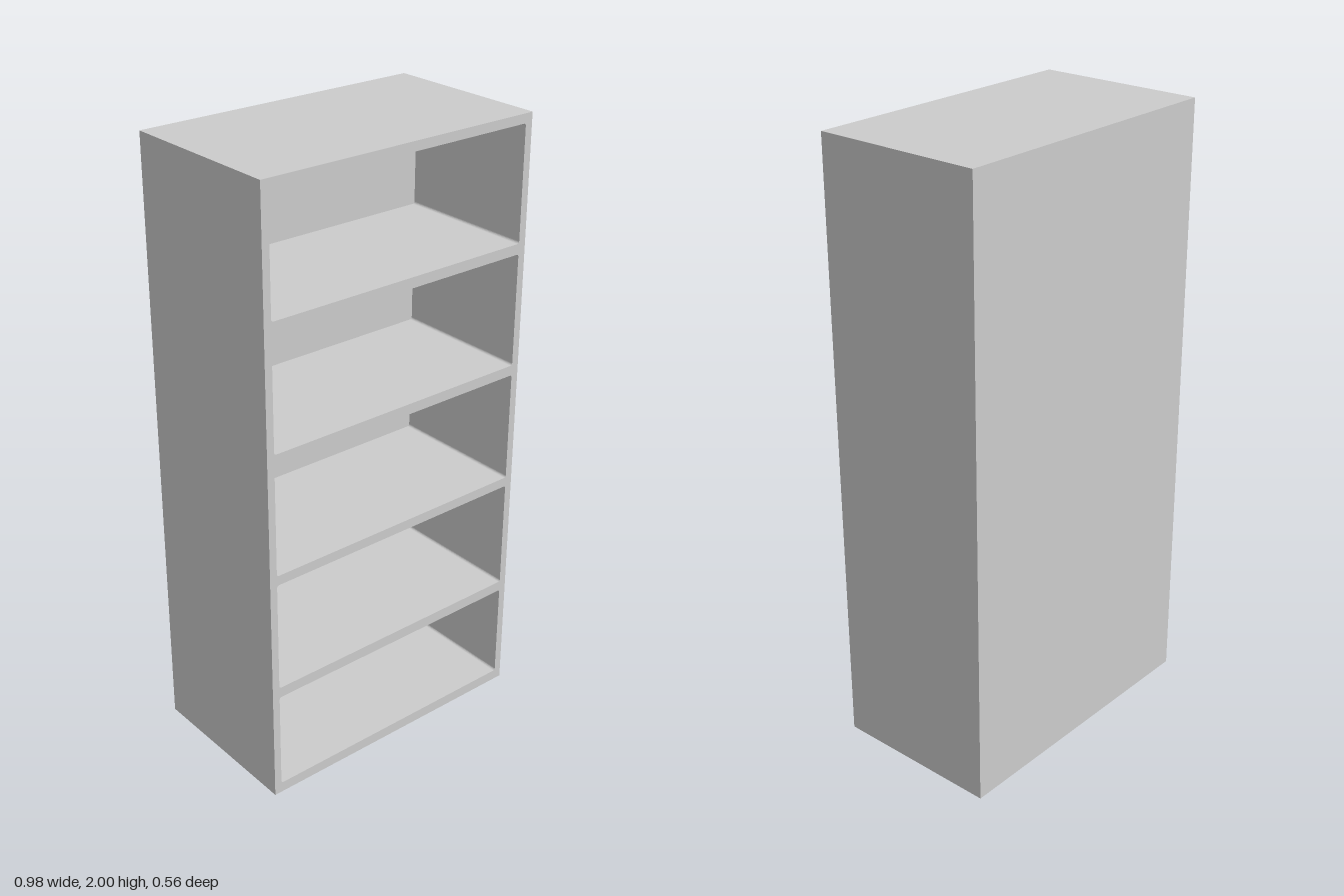
import * as THREE from 'three';

const W = 0.98, H = 2, D = 0.56;   // outer size
const WALL = 0.025;                // side wall thickness
const BACK = 0.09;                 // back thickness
const R = 0.008;                   // opening corner radius

// Rectangle with slightly rounded corners
function roundedRect(path, x0, y0, x1, y1, r) {
  path.moveTo(x0 + r, y0);
  path.lineTo(x1 - r, y0);
  path.absarc(x1 - r, y0 + r, r, -Math.PI / 2, 0);
  path.lineTo(x1, y1 - r);
  path.absarc(x1 - r, y1 - r, r, 0, Math.PI / 2);
  path.lineTo(x0 + r, y1);
  path.absarc(x0 + r, y1 - r, r, Math.PI / 2, Math.PI);
  path.lineTo(x0, y0 + r);
  path.absarc(x0 + r, y0 + r, r, Math.PI, Math.PI * 1.5);
  return path;
}

export function createModel() {
  const group = new THREE.Group();
  group.name = 'bookcase';
  const material = new THREE.MeshStandardMaterial({ color: 0xcccccc });

  // Frame and shelves: one slab pierced by five compartments
  const outline = new THREE.Shape([
    new THREE.Vector2(-W / 2, 0), new THREE.Vector2(W / 2, 0),
    new THREE.Vector2(W / 2, H), new THREE.Vector2(-W / 2, H),
  ]);
  const compartments = [[0.035, 0.365], [0.4, 0.768], [0.8, 1.166], [1.2, 1.568], [1.602, 1.97]];
  for (const [bottom, top] of compartments) {
    outline.holes.push(roundedRect(new THREE.Path(), -W / 2 + WALL, bottom, W / 2 - WALL, top, R));
  }
  const frame = new THREE.Mesh(
    new THREE.ExtrudeGeometry(outline, { depth: D - BACK, bevelEnabled: false, curveSegments: 4 }), material);
  frame.name = 'frameAndShelves';
  frame.position.z = -D / 2 + BACK;
  group.add(frame);

  // Solid back closing the compartments
  const back = new THREE.Mesh(new THREE.BoxGeometry(W, H, BACK), material);
  back.name = 'backPanel';
  back.position.set(0, H / 2, -D / 2 + BACK / 2);
  group.add(back);

  return group;
}
